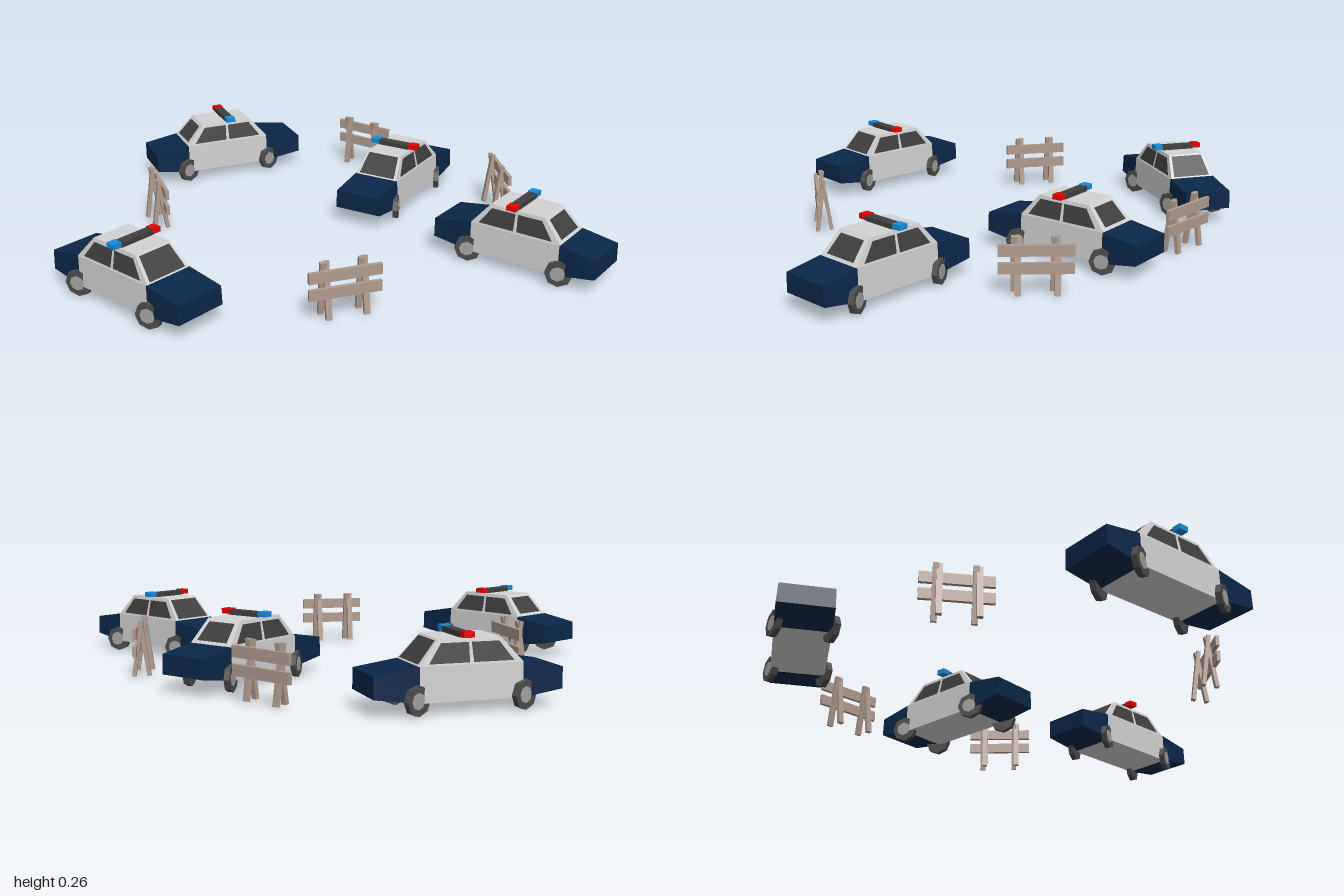
import * as THREE from 'three';

const mat = (name, color) => {
  const m = new THREE.MeshStandardMaterial({ color });
  m.name = name;
  return m;
};

// Triangles with flat normals from a list of [x, y, z] corners
function flatGeometry(points) {
  const g = new THREE.BufferGeometry();
  g.setAttribute('position', new THREE.Float32BufferAttribute(points.flat(), 3));
  g.computeVertexNormals();
  return g;
}

// Closed solid through a row of rings, each counter-clockwise seen from the last ring's side
function loft(rings) {
  const p = [], n = rings[0].length, last = rings[rings.length - 1];
  for (let r = 0; r < rings.length - 1; r++) {
    for (let i = 0; i < n; i++) {
      const j = (i + 1) % n, a = rings[r], b = rings[r + 1];
      p.push(a[i], a[j], b[j], a[i], b[j], b[i]);
    }
  }
  for (let i = 1; i < n - 1; i++) {
    p.push(last[0], last[i], last[i + 1]);
    p.push(rings[0][0], rings[0][i + 1], rings[0][i]);
  }
  return flatGeometry(p);
}

// Four-sided body section at z
const section = (z, bottom, top) =>
  [[-0.098, bottom, z], [0.098, bottom, z], [0.095, top, z], [-0.095, top, z]];

// Thin pane lying on the face a, b, c, d, between fractions u0..u1 and v0..v1
function pane([a, b, c, d], u0, u1, v0, v1) {
  const V = (q) => new THREE.Vector3(...q);
  const n = V(b).sub(V(a)).cross(V(d).sub(V(a))).normalize().multiplyScalar(0.002);
  const at = (u, v) => V(a).lerp(V(b), u).lerp(V(d).lerp(V(c), u), v).add(n).toArray();
  const q = [at(u0, v0), at(u1, v0), at(u1, v1), at(u0, v1)];
  return flatGeometry([q[0], q[1], q[2], q[0], q[2], q[3]]);
}

function faceted(geometry) {
  const g = geometry.toNonIndexed();
  g.computeVertexNormals();
  return g;
}

export function createModel() {
  const white = mat('white paint', 0xd2d2d2);
  const navy = mat('navy paint', 0x0a2748);
  const glass = mat('dark glass', 0x3f3f3f);
  const rubber = mat('tyre grey', 0x4c4c4c);
  const metal = mat('hub grey', 0xa2a2a2);
  const red = mat('red lamp', 0xf00404);
  const blue = mat('blue lamp', 0x168cdc);
  const wood = mat('wood', 0xb19b8e);

  const add = (parent, name, geometry, material, x = 0, y = 0, z = 0) => {
    const m = new THREE.Mesh(geometry, material);
    m.name = name;
    m.position.set(x, y, z);
    parent.add(m);
    return m;
  };

  // Shared car geometry
  const frontBody = loft([section(0.172, 0.037, 0.153), section(0.326, 0.058, 0.13)]);
  const rearBody = loft([section(-0.326, 0.058, 0.13), section(-0.185, 0.037, 0.153)]);
  const midBody = loft([section(-0.185, 0.037, 0.153), section(0.172, 0.037, 0.153)]);
  const rect = (w, y, front, back) => [[w, y, front], [w, y, back], [-w, y, back], [-w, y, front]];
  const sill = rect(0.092, 0.152, 0.175, -0.187), roof = rect(0.075, 0.235, 0.104, -0.112);
  const cabin = loft([sill, roof]);
  const face = (i) => {
    const j = (i + 1) % 4;
    return [sill[i], sill[j], roof[j], roof[i]];
  };
  const tyre = faceted(new THREE.CylinderGeometry(0.05, 0.05, 0.02, 8).rotateX(Math.PI / 8).rotateZ(Math.PI / 2));
  const hub = faceted(new THREE.CylinderGeometry(0.028, 0.028, 0.003, 8).rotateX(Math.PI / 8).rotateZ(Math.PI / 2));

  function car() {
    const g = new THREE.Group();
    g.name = 'patrolCar';
    add(g, 'hood', frontBody, navy);
    add(g, 'trunk', rearBody, navy);
    add(g, 'doors', midBody, white);
    add(g, 'cabin', cabin, white);

    // Windows: two on each side, one at each end
    for (const i of [0, 2]) {
      add(g, 'sideWindow', pane(face(i), 0.08, 0.48, 0.08, 0.84), glass);
      add(g, 'sideWindow', pane(face(i), 0.52, 0.92, 0.08, 0.84), glass);
    }
    add(g, 'rearWindow', pane(face(1), 0.12, 0.88, 0.12, 0.86), glass);
    add(g, 'windshield', pane(face(3), 0.07, 0.93, 0.06, 0.92), glass);

    // Wheels
    for (const side of [1, -1]) {
      for (const z of [0.18, -0.19]) {
        add(g, 'tyre', tyre, rubber, side * 0.096, 0.047, z);
        add(g, 'hub', hub, metal, side * 0.1065, 0.047, z);
      }
    }

    // Roof light bar
    add(g, 'lightBar', new THREE.BoxGeometry(0.138, 0.018, 0.036), glass, 0, 0.245, 0.01);
    const lamp = new THREE.BoxGeometry(0.034, 0.019, 0.037);
    add(g, 'redLamp', lamp, red, 0.085, 0.248, 0.01);
    add(g, 'blueLamp', lamp, blue, -0.085, 0.248, 0.01);
    return g;
  }

  function barrier() {
    const g = new THREE.Group();
    g.name = 'barrier';
    // Two rails on the +z side
    for (const y of [0.1, 0.163]) {
      add(g, 'rail', new THREE.BoxGeometry(0.26, 0.04, 0.014), wood, 0, y, 0.014);
    }
    // Crossed legs
    for (const x of [-0.068, 0.068]) {
      for (const s of [1, -1]) {
        const leg = add(g, 'leg', new THREE.BoxGeometry(0.021, 0.208, 0.015), wood,
          x + s * 0.006, 0.105, s * 0.012 - 0.006);
        leg.rotation.x = -s * 0.15;
      }
    }
    return g;
  }

  // Place everything: x, z and heading in degrees
  const model = new THREE.Group();
  model.name = 'roadblock';
  const place = (make, spots) => spots.forEach(([x, z, deg]) => {
    const g = make();
    g.position.set(x, 0, z);
    g.rotation.y = THREE.MathUtils.degToRad(deg);
    model.add(g);
  });
  place(car, [[-0.63, -0.666, 119.7], [0.163, -0.37, -24.6], [0.667, 0.205, -120], [-0.68, 0.638, 55.2]]);
  place(barrier, [[-0.01, -0.76, 150], [0.58, -0.312, 104.6], [-0.768, -0.03, 115.5], [0.046, 0.672, 24.4]]);
  return model;
}
